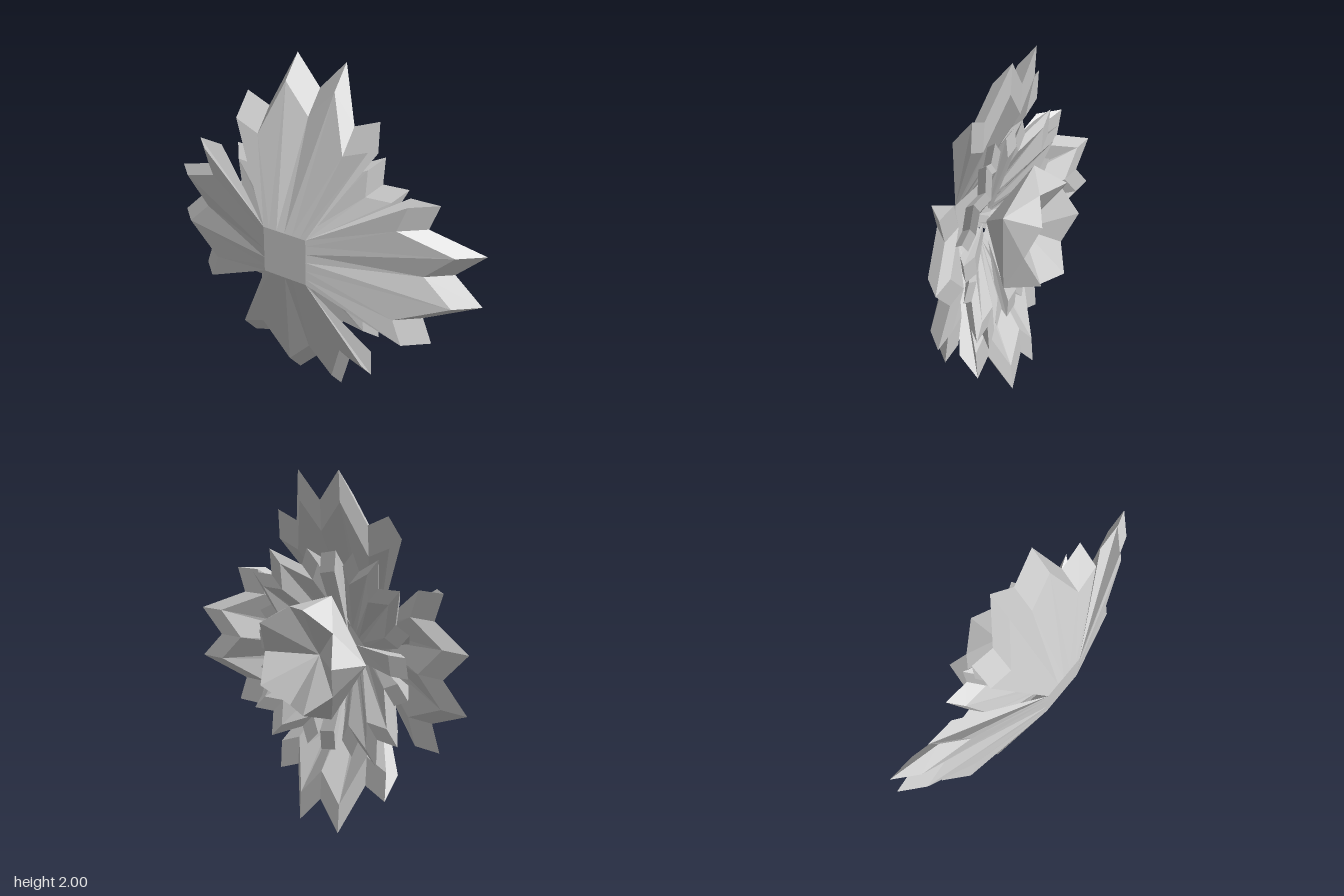
import * as THREE from 'three';

const material = new THREE.MeshStandardMaterial({
  color: 0xcccccc, flatShading: true, side: THREE.DoubleSide,
});

// Builds a faceted geometry from polygons (each fanned into triangles).
function facets(polygons) {
  const pos = [];
  for (const p of polygons) {
    for (let i = 1; i < p.length - 1; i++) pos.push(...p[0], ...p[i], ...p[i + 1]);
  }
  const g = new THREE.BufferGeometry();
  g.setAttribute('position', new THREE.Float32BufferAttribute(pos, 3));
  g.computeVertexNormals();
  return g;
}

// Wedge-shaped petal growing along +y: a front skin and a back skin that share
// the base line and close in a sharp toothed rim.
function petalGeometry(base, front, rimShift, backShift) {
  const shift = (d) => front.map(([x, y, z]) => [x, y + d[0], z + d[1]]);
  const rim = shift(rimShift);
  const back = shift(backShift);
  const polys = [];
  const n = front.length - 1;
  for (let i = 0; i < n; i++) {
    const j = i + 1;
    polys.push([base[i], base[j], front[j], front[i]]);
    polys.push([front[i], front[j], rim[j], rim[i]]);
    polys.push([base[j], base[i], back[i], back[j]]);
    polys.push([back[j], back[i], rim[i], rim[j]]);
  }
  polys.push([base[0], front[0], rim[0], back[0]]);
  polys.push([base[n], back[n], rim[n], front[n]]);
  return facets(polys);
}

// Mirrors the left half of a row; the last point lies on the centre line.
const mirrored = (half) => [
  ...half,
  ...half.slice(0, -1).reverse().map(([x, y, z]) => [-x, y, z]),
];

// Four copies around the flower axis.
function ring(name, geometry, turn, scale) {
  const group = new THREE.Group();
  group.name = name + 's';
  for (let i = 0; i < 4; i++) {
    const mesh = new THREE.Mesh(geometry, material);
    mesh.name = name;
    mesh.rotation.z = turn + (i * Math.PI) / 2;
    mesh.scale.setScalar(scale);
    group.add(mesh);
  }
  return group;
}

// Five-sided cup with a zigzag rim and a hollow middle, opening towards -z.
function cupGeometry() {
  const at = (k, r, z) => {
    const a = Math.PI + (k * Math.PI * 2) / 5;
    return [r * Math.cos(a), r * Math.sin(a), z];
  };
  const foot = [0, 0, 0.16];
  const floor = [0, 0, -0.06];
  const polys = [];
  for (let i = 0; i < 5; i++) {
    const w0 = at(i, 0.36, -0.08), w1 = at(i + 1, 0.36, -0.08);
    const t0 = at(i, 0.3, -0.28), t1 = at(i + 1, 0.3, -0.28);
    const v = at(i + 0.5, 0.29, -0.2);
    polys.push([foot, w0, w1]);
    polys.push([t0, v, w0], [v, t1, w1], [v, w1, w0]);
    polys.push([floor, v, t0], [floor, t1, v]);
  }
  return facets(polys);
}

export function createModel() {
  const model = new THREE.Group();
  model.name = 'flower';
  const flower = new THREE.Group();
  flower.name = 'flowerHead';
  flower.position.y = 1;
  model.add(flower);

  // Square base where the outer petals meet
  const plate = new THREE.Mesh(new THREE.PlaneGeometry(0.27, 0.27), material);
  plate.name = 'basePlate';
  plate.position.z = 0.28;
  flower.add(plate);

  // Toothed petals: a large outer ring and a smaller ring on the diagonals
  const petal = petalGeometry(
    mirrored([[-0.135, 0.135, 0.28], [-0.1, 0.135, 0.28], [-0.05, 0.135, 0.28], [0, 0.135, 0.28]]),
    mirrored([[-0.41, 0.645, 0.135], [-0.265, 0.59, 0.14], [-0.15, 0.875, 0.04], [0, 0.715, 0.055]]),
    [0.125, -0.11],
    [-0.04, -0.1],
  );
  flower.add(ring('outerPetal', petal, 0, 1));
  flower.add(ring('innerPetal', petal, Math.PI / 4, 0.68));

  // Slim filaments behind the large petals
  const filament = petalGeometry(
    [[-0.04, 0.1, 0.13], [0.04, 0.1, 0.13]],
    [[-0.055, 0.49, 0.07], [0.055, 0.47, 0.07]],
    [0.08, -0.06],
    [-0.03, -0.07],
  );
  flower.add(ring('filament', filament, 0, 1));

  // Cup in the middle
  const cup = new THREE.Mesh(cupGeometry(), material);
  cup.name = 'centreCup';
  flower.add(cup);

  return model;
}
